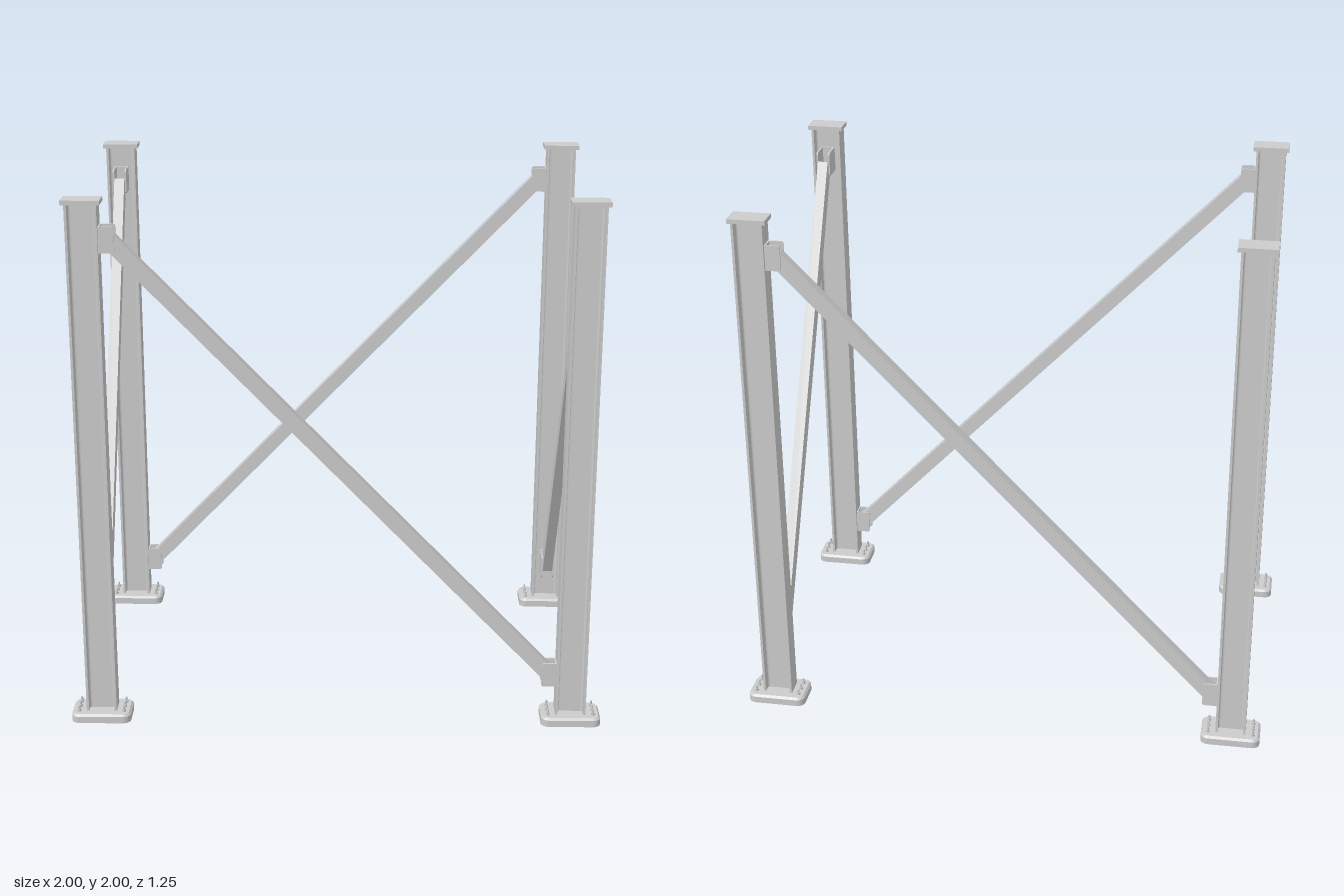
import * as THREE from 'three';

const grey = new THREE.MeshStandardMaterial({ color: 0xcccccc });
const CX = 0.888, CZ = 0.553;        // column centres
const TOP = 1.8575, BOTTOM = 0.1925; // brace end heights

function add(parent, name, geometry, x = 0, y = 0, z = 0) {
  const mesh = new THREE.Mesh(geometry, grey);
  mesh.name = name;
  mesh.position.set(x, y, z);
  parent.add(mesh);
  return mesh;
}

function roundedRect(w, h, r) {
  const s = new THREE.Shape(), x = w / 2 - r, y = h / 2 - r;
  s.absarc(x, y, r, 0, Math.PI / 2);
  s.absarc(-x, y, r, Math.PI / 2, Math.PI);
  s.absarc(-x, -y, r, Math.PI, Math.PI * 1.5);
  s.absarc(x, -y, r, Math.PI * 1.5, Math.PI * 2);
  s.closePath();
  return s;
}

// Extrude a plan shape upwards
function extrudeUp(shape, depth, options = {}) {
  return new THREE.ExtrudeGeometry(shape, { depth, bevelEnabled: false, curveSegments: 6, ...options })
    .rotateX(-Math.PI / 2);
}

// I-section with flanges facing +x and -x, filleted at the web
function beamShape() {
  const a = 0.057, b = 0.037, f = a - 0.009, w = 0.005, r = 0.01;
  const s = new THREE.Shape();
  s.moveTo(-a, -b);
  s.lineTo(-f, -b);
  s.lineTo(-f, -w - r);
  s.quadraticCurveTo(-f, -w, -f + r, -w);
  s.lineTo(f - r, -w);
  s.quadraticCurveTo(f, -w, f, -w - r);
  s.lineTo(f, -b);
  s.lineTo(a, -b);
  s.lineTo(a, b);
  s.lineTo(f, b);
  s.lineTo(f, w + r);
  s.quadraticCurveTo(f, w, f - r, w);
  s.lineTo(-f + r, w);
  s.quadraticCurveTo(-f, w, -f, w + r);
  s.lineTo(-f, b);
  s.lineTo(-a, b);
  s.closePath();
  return s;
}

function makeColumn() {
  const column = new THREE.Group();
  column.name = 'column';
  add(column, 'beam', extrudeUp(beamShape(), 1.955), 0, 0.032, 0);
  add(column, 'capPlate', new THREE.BoxGeometry(0.138, 0.016, 0.084), 0, 1.992, 0);

  // Foot: hollow rim below a chamfered plate
  const rim = roundedRect(0.224, 0.145, 0.03);
  rim.holes.push(roundedRect(0.18, 0.1, 0.01));
  add(column, 'footRim', extrudeUp(rim, 0.022));
  add(column, 'basePlate', extrudeUp(roundedRect(0.208, 0.129, 0.022), 0.006,
    { bevelEnabled: true, bevelThickness: 0.008, bevelSize: 0.008, bevelSegments: 1 }), 0, 0.02, 0);

  // Three anchor bolts along each end
  for (const x of [-0.085, 0.085]) {
    for (const z of [-0.038, 0, 0.038]) {
      add(column, 'nut', new THREE.CylinderGeometry(0.0075, 0.0075, 0.009, 6), x, 0.038, z);
      add(column, 'bolt', new THREE.CylinderGeometry(0.004, 0.004, 0.024, 10), x, 0.044, z);
    }
  }
  return column;
}

// U-shaped bracket: back plate at x = 0, cheeks reaching towards +x
function makeBracket(length) {
  const bracket = new THREE.Group();
  bracket.name = 'bracket';
  const h = 0.0475, r = 0.01, t = 0.006;
  const s = new THREE.Shape();
  s.moveTo(0, -h);
  s.lineTo(length - r, -h);
  s.quadraticCurveTo(length, -h, length, -h + r);
  s.lineTo(length, h - r);
  s.quadraticCurveTo(length, h, length - r, h);
  s.lineTo(0, h);
  s.closePath();
  const cheek = new THREE.ExtrudeGeometry(s, { depth: t, bevelEnabled: false, curveSegments: 5 });
  add(bracket, 'cheekPlate', cheek, 0, 0, 0.0205);
  add(bracket, 'cheekPlate', cheek, 0, 0, -0.0205 - t);
  add(bracket, 'backPlate', new THREE.BoxGeometry(t, 2 * h, 0.041), t / 2, 0, 0);
  return bracket;
}

// Diagonal brace from top at -x to bottom at +x, with a bracket at each end
function makeBrace(half, face, bracketLength) {
  const brace = new THREE.Group();
  brace.name = 'diagonalBrace';
  const rise = TOP - BOTTOM;
  const bar = add(brace, 'braceBar',
    new THREE.BoxGeometry(Math.hypot(2 * half, rise), 0.056, 0.04), 0, (TOP + BOTTOM) / 2, 0);
  bar.rotation.z = -Math.atan2(rise, 2 * half);
  const upper = makeBracket(bracketLength);
  upper.position.set(-face, TOP, 0);
  const lower = makeBracket(bracketLength);
  lower.position.set(face, BOTTOM, 0);
  lower.rotation.y = Math.PI;
  brace.add(upper, lower);
  return brace;
}

export function createModel() {
  const model = new THREE.Group();
  model.name = 'bracedFrame';

  for (const x of [-CX, CX]) {
    for (const z of [-CZ, CZ]) {
      const column = makeColumn();
      column.position.set(x, 0, z);
      model.add(column);
    }
  }

  // Long sides fix to the flanges, short sides to the webs
  for (const s of [1, -1]) {
    const long = makeBrace(0.8, CX - 0.057, 0.056);
    long.position.z = s * CZ;
    long.rotation.y = s > 0 ? 0 : Math.PI;
    const short = makeBrace(0.48, CZ - 0.005, 0.086);
    short.position.x = s * CX;
    short.rotation.y = s * Math.PI / 2;
    model.add(long, short);
  }
  return model;
}
